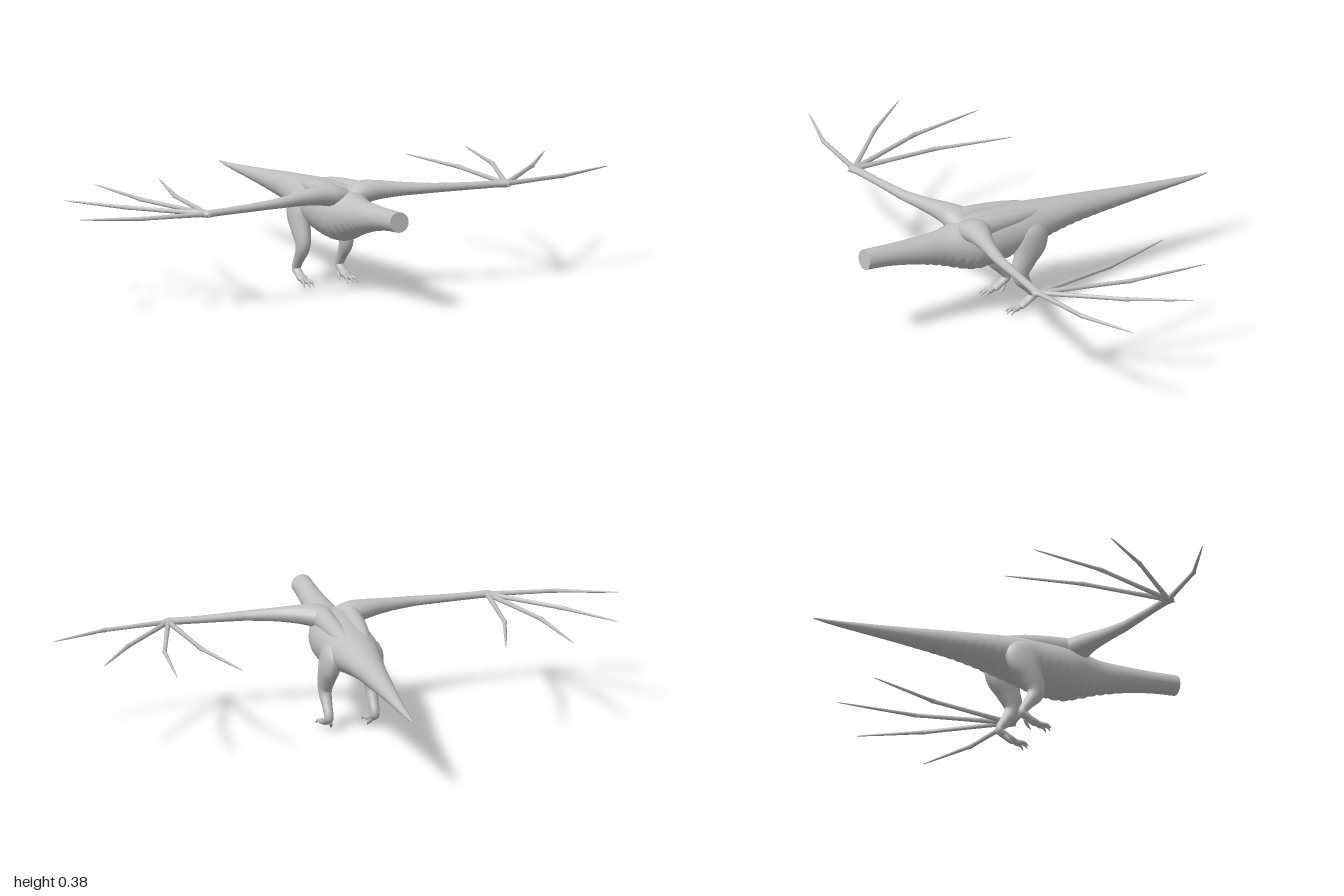
import * as THREE from 'three';

const skin = new THREE.MeshStandardMaterial({ color: 0xc0c0c0 });
skin.name = 'grey skin';

// Skin elliptical rings along stations [x, y, z, radiusU, radiusV].
// V points towards ref; tweak may reshape a ring point.
function loft(name, stations, { ref = [0, 1, 0], sides = 16, div = 4, tweak } = {}) {
  const path = new THREE.CatmullRomCurve3(stations.map(s => new THREE.Vector3(s[0], s[1], s[2])), false, 'catmullrom', 0.5);
  const size = new THREE.CatmullRomCurve3(stations.map(s => new THREE.Vector3(s[3], s[4] ?? s[3], 0)), false, 'catmullrom', 0.5);
  const n = (stations.length - 1) * div;
  const up = new THREE.Vector3(...ref);
  const pos = [], idx = [];
  for (let i = 0; i <= n; i++) {
    const t = i / n, c = path.getPoint(t), r = size.getPoint(t);
    const T = path.getTangent(t);
    const U = up.clone().cross(T).normalize(), V = T.clone().cross(U);
    for (let j = 0; j < sides; j++) {
      const a = j / sides * Math.PI * 2;
      const p = c.clone().addScaledVector(U, Math.cos(a) * r.x).addScaledVector(V, Math.sin(a) * r.y);
      if (tweak) tweak(p, a);
      pos.push(p.x, p.y, p.z);
      if (i < n) {
        const k = i * sides + j, m = i * sides + (j + 1) % sides;
        idx.push(k, m, k + sides, m, m + sides, k + sides);
      }
    }
  }
  // flat end caps with their own vertices
  for (const row of [0, n]) {
    const base = pos.length / 3, c = path.getPoint(row / n);
    for (let j = 0; j < sides * 3; j++) {
      const k = row * sides * 3 + j;
      pos.push(pos[k]);
    }
    pos.push(c.x, c.y, c.z);
    for (let j = 0; j < sides; j++) {
      const a = base + j, b = base + (j + 1) % sides;
      if (row) idx.push(a, b, base + sides);
      else idx.push(b, a, base + sides);
    }
  }
  const g = new THREE.BufferGeometry();
  g.setAttribute('position', new THREE.Float32BufferAttribute(pos, 3));
  g.setIndex(idx);
  g.computeVertexNormals();
  const mesh = new THREE.Mesh(g, skin);
  mesh.name = name;
  return mesh;
}

// Tail, trunk and neck in one skin: z, top, bottom, half width
function body() {
  const profile = [
    [-0.69, 0.267, 0.263, 0.002], [-0.6, 0.275, 0.256, 0.011], [-0.4, 0.298, 0.249, 0.027],
    [-0.2, 0.324, 0.241, 0.047], [-0.1, 0.336, 0.235, 0.062], [0, 0.348, 0.221, 0.079],
    [0.08, 0.357, 0.206, 0.092], [0.15, 0.362, 0.191, 0.096], [0.22, 0.366, 0.181, 0.098],
    [0.28, 0.366, 0.182, 0.093], [0.34, 0.354, 0.203, 0.074], [0.4, 0.344, 0.226, 0.058],
    [0.47, 0.344, 0.246, 0.049], [0.55, 0.347, 0.265, 0.041], [0.62, 0.351, 0.278, 0.037],
    [0.7, 0.357, 0.287, 0.035],
  ];
  const stations = profile.map(([z, top, bottom, w]) => [0, (top + bottom) / 2, z, w, (top - bottom) / 2]);
  return loft('body', stations, {
    sides: 28, div: 16,
    // scalloped belly plates, fading out on the neck and tail
    tweak(p, a) {
      const under = Math.max(0, -Math.sin(a));
      const fade = THREE.MathUtils.smoothstep(p.z, -0.45, 0.1) * (1 - THREE.MathUtils.smoothstep(p.z, 0.38, 0.55));
      p.y -= 0.007 * fade * Math.sqrt(under) * (Math.abs(Math.sin(p.z * Math.PI / 0.034)) - 0.4);
    },
  });
}

function wing(s) {
  const g = new THREE.Group();
  g.name = s > 0 ? 'leftWing' : 'rightWing';
  g.add(loft('arm', [
    [0.015 * s, 0.335, 0.275, 0.06, 0.03], [0.06 * s, 0.343, 0.29, 0.054, 0.039],
    [0.11 * s, 0.348, 0.303, 0.04, 0.033], [0.19 * s, 0.348, 0.325, 0.026, 0.024],
    [0.28 * s, 0.346, 0.345, 0.02, 0.018], [0.32 * s, 0.345, 0.35, 0.018, 0.016],
    [0.44 * s, 0.342, 0.36, 0.014, 0.013], [0.53 * s, 0.341, 0.368, 0.015, 0.012],
    [0.565 * s, 0.34, 0.372, 0.018, 0.012], [0.578 * s, 0.34, 0.373, 0.004, 0.004],
  ]));
  // four finger struts: knuckle x, z then tip x, z
  const fingers = [
    [0.79, 0.342, 0.99, 0.268], [0.765, 0.15, 0.9, 0.03],
    [0.66, 0.06, 0.695, -0.22], [0.533, 0.06, 0.463, -0.205],
  ];
  fingers[1][3] = -0.035 * -1;
  fingers.forEach(([kx, kz, tx, tz], i) => {
    const at = (x0, z0, x1, z1, t, r) => [(x0 + (x1 - x0) * t) * s, 0.34, z0 + (z1 - z0) * t, r];
    const z = i === 1 ? -tz : tz;
    g.add(loft('finger' + (i + 1), [
      at(0.56, 0.37, kx, kz, 0, 0.013), at(0.56, 0.37, kx, kz, 0.12, 0.009),
      at(0.56, 0.37, kx, kz, 0.9, 0.007), at(0.56, 0.37, kx, kz, 1, 0.0085),
      at(kx, kz, tx, z, 0.1, 0.0065), at(kx, kz, tx, z, 0.7, 0.004), at(kx, kz, tx, z, 1, 0.0012),
    ], { sides: 8, div: 2 }));
  });
  // small thumb claw at the wrist
  g.add(loft('thumbClaw', [
    [0.55 * s, 0.338, 0.37, 0.008], [0.557 * s, 0.337, 0.384, 0.005], [0.568 * s, 0.333, 0.392, 0.001],
  ], { sides: 6 }));
  // shoulder blade along the back
  g.add(loft('shoulderBlade', [
    [0.05 * s, 0.335, 0.33, 0.012, 0.02], [0.048 * s, 0.34, 0.28, 0.035, 0.037],
    [0.044 * s, 0.337, 0.2, 0.035, 0.036], [0.038 * s, 0.332, 0.1, 0.03, 0.028],
    [0.03 * s, 0.325, 0, 0.015, 0.012],
  ]));
  return g;
}

function leg(s) {
  const g = new THREE.Group();
  g.name = s > 0 ? 'leftLeg' : 'rightLeg';
  const x = 0.081 * s;
  // thigh, shin and ankle
  g.add(loft('limb', [
    [0.065 * s, 0.315, 0.06, 0.02, 0.012], [0.071 * s, 0.285, 0.065, 0.057, 0.03],
    [0.076 * s, 0.24, 0.078, 0.063, 0.034], [0.079 * s, 0.195, 0.1, 0.046, 0.031],
    [0.08 * s, 0.155, 0.118, 0.036, 0.026], [x, 0.125, 0.117, 0.029, 0.022],
    [x, 0.09, 0.093, 0.02, 0.018], [x, 0.06, 0.072, 0.016, 0.016],
    [x, 0.042, 0.07, 0.012, 0.014], [x, 0.036, 0.08, 0.004, 0.004],
  ], { ref: [1, 0, 0], sides: 14 }));
  g.add(loft('foot', [
    [x, 0.05, 0.06, 0.007, 0.01], [x, 0.045, 0.072, 0.014, 0.015],
    [x, 0.032, 0.095, 0.012, 0.016], [x, 0.022, 0.118, 0.011, 0.018], [x, 0.018, 0.13, 0.005, 0.01],
  ], { ref: [1, 0, 0], sides: 10 }));
  // three front toes, each ending in a hooked claw
  for (const k of [-1, 0, 1]) {
    const reach = k ? 0.9 : 1;
    const toe = (d, y, r) => [x + k * 0.3 * d * reach, y, 0.108 + d * reach, r];
    g.add(loft('toe', [
      toe(0, 0.022, 0.008), toe(0.02, 0.021, 0.008), toe(0.036, 0.017, 0.0075),
      toe(0.048, 0.018, 0.006), toe(0.06, 0.013, 0.004), toe(0.068, 0.003, 0.001),
    ], { sides: 7, div: 2 }));
  }
  // inner back toe
  g.add(loft('backToe', [
    [x - 0.008 * s, 0.03, 0.085, 0.008], [x - 0.014 * s, 0.018, 0.092, 0.006],
    [x - 0.016 * s, 0.011, 0.1, 0.0045], [x - 0.017 * s, 0.002, 0.11, 0.001],
  ], { sides: 7, div: 2 }));
  return g;
}

export function createModel() {
  const model = new THREE.Group();
  model.name = 'wingedCreature';
  model.add(body());
  for (const s of [1, -1]) model.add(wing(s), leg(s));
  return model;
}
